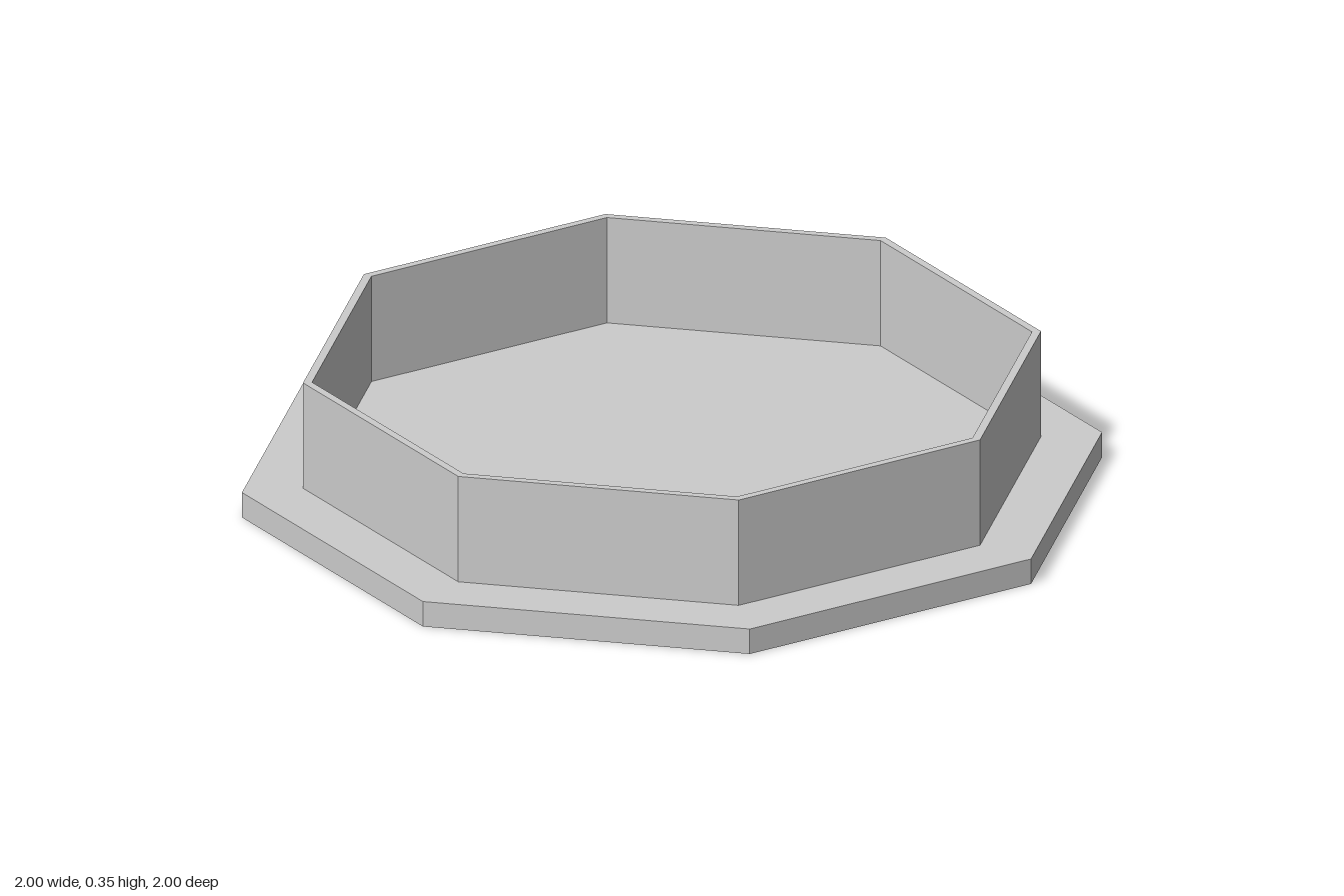
import * as THREE from 'three';

const SIDES = 8;

// Octagon corners for a given centre-to-side distance, with flat sides on the axes
function octagon(apothem) {
  const radius = apothem / Math.cos(Math.PI / SIDES);
  return Array.from({ length: SIDES }, (_, i) => {
    const a = ((i + 0.5) / SIDES) * Math.PI * 2;
    return new THREE.Vector2(radius * Math.cos(a), radius * Math.sin(a));
  });
}

// Upright octagonal prism, optionally hollow
function prism(name, y, height, outer, inner, material) {
  const shape = new THREE.Shape(octagon(outer));
  if (inner) shape.holes.push(new THREE.Path(octagon(inner)));
  const geometry = new THREE.ExtrudeGeometry(shape, { depth: height, bevelEnabled: false });
  geometry.rotateX(-Math.PI / 2);
  geometry.translate(0, y, 0);
  const mesh = new THREE.Mesh(geometry, material);
  mesh.name = name;
  return mesh;
}

export function createModel() {
  const group = new THREE.Group();
  group.name = 'octagonalTray';
  const material = new THREE.MeshStandardMaterial({ color: 0xcccccc, flatShading: true });

  const baseHeight = 0.067;
  const totalHeight = 0.35;

  // Wide flat plate, whose top is also the floor inside the wall
  group.add(prism('basePlate', 0, baseHeight, 1, 0, material));
  // Thin upright rim
  group.add(prism('rimWall', baseHeight, totalHeight - baseHeight, 0.858, 0.837, material));

  return group;
}
